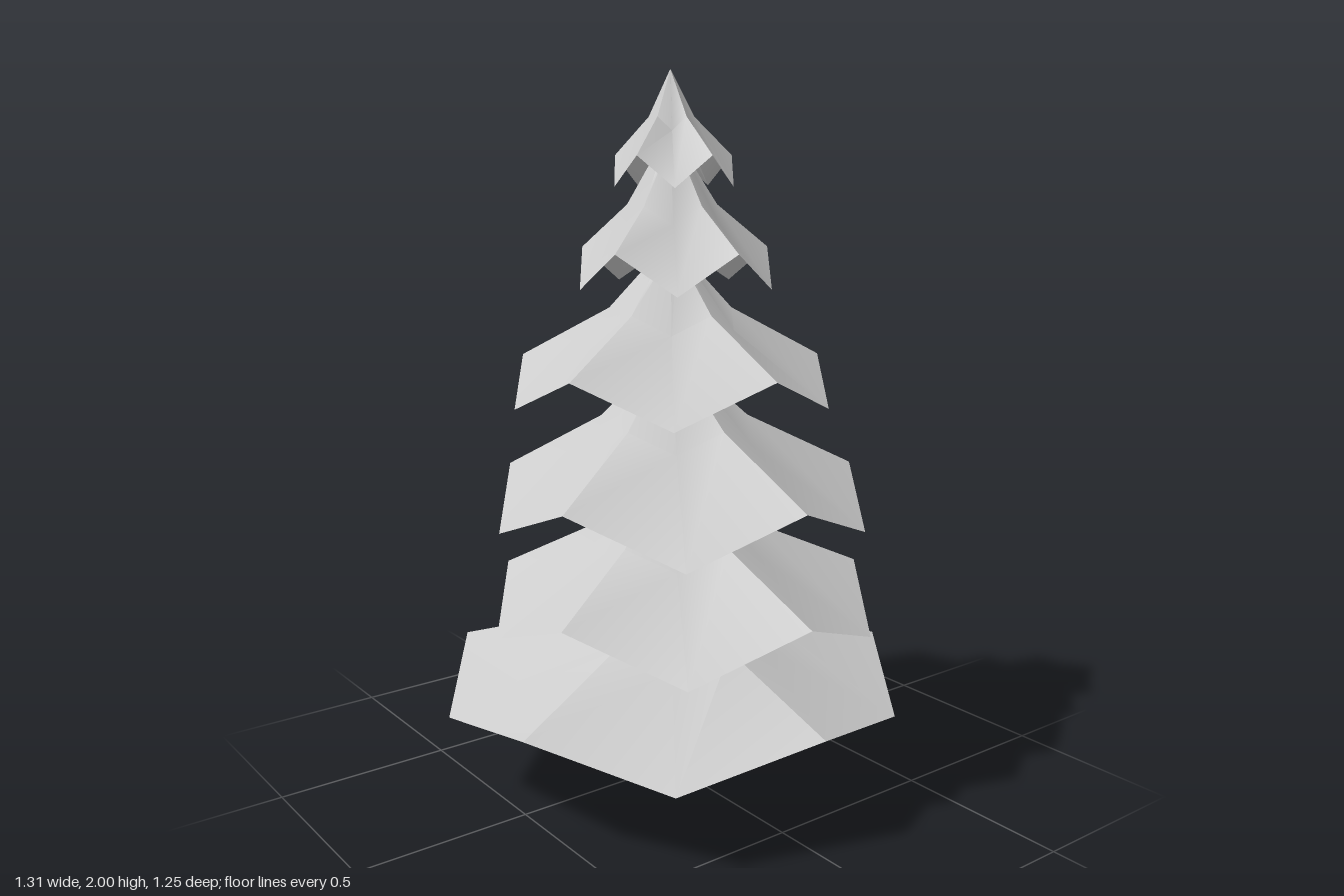
import * as THREE from 'three';
import { toCreasedNormals } from 'three/addons/utils/BufferGeometryUtils.js';

const SIDES = 10;

// Pleated skirt: even spokes are raised ridges, odd spokes are sagging valleys
function tierGeometry({ top, mid, tip, drop, offset, tilt = 0 }) {
  const rings = [
    { r: top[0], y: top[1], sag: 0, shift: 0 },
    { r: mid[0], y: mid[1], sag: drop * 0.45, shift: 0.4 },
    { r: tip[0], y: tip[1], sag: drop, shift: 1 },
  ];
  const positions = [], index = [];
  rings.forEach(({ r, y, sag, shift }, k) => {
    for (let i = 0; i < SIDES; i++) {
      const a = (i / SIDES) * Math.PI * 2;
      const x = Math.cos(a) * r, z = Math.sin(a) * r;
      const low = i % 2 ? sag : 0;
      positions.push(x + offset[0] * shift, y - low - tilt * (x + z * 0.5), z + offset[1] * shift);
      if (k === 0) continue;
      const j = (i + 1) % SIDES, u = (k - 1) * SIDES, d = k * SIDES;
      // Split every panel from its ridge so the pleats mirror each other
      if (i % 2) index.push(u + i, u + j, d + j, u + i, d + j, d + i);
      else index.push(u + i, d + j, d + i, u + i, u + j, d + j);
    }
  });
  const geometry = new THREE.BufferGeometry();
  geometry.setAttribute('position', new THREE.Float32BufferAttribute(positions, 3));
  geometry.setIndex(index);
  return toCreasedNormals(geometry, 0.5);
}

export function createModel() {
  const tree = new THREE.Group();
  tree.name = 'pineTree';

  // Trunk with a flared foot
  const profile = [[0, 0], [0.108, 0], [0.066, 0.28], [0.055, 0.6], [0.045, 1.4], [0.025, 1.84], [0, 1.84]]
    .map(([r, y]) => new THREE.Vector2(r, y));
  const trunk = new THREE.Mesh(
    new THREE.LatheGeometry(profile, 8),
    new THREE.MeshStandardMaterial({ color: 0xcccccc, flatShading: true })
  );
  trunk.name = 'trunk';
  trunk.rotation.y = 0.5;
  tree.add(trunk);

  // Branch tiers from bottom to top: [radius, height] of each ring along a ridge
  const tiers = [
    { top: [0.03, 0.58], mid: [0.27, 0.45], tip: [0.655, 0.335], drop: 0.088, offset: [-0.003, -0.006], tilt: 0.025 },
    { top: [0.03, 0.9], mid: [0.24, 0.73], tip: [0.545, 0.588], drop: 0.12, offset: [0.03, -0.022] },
    { top: [0.03, 1.23], mid: [0.22, 1.05], tip: [0.527, 0.888], drop: 0.122, offset: [0.018, -0.025] },
    { top: [0.03, 1.52], mid: [0.18, 1.36], tip: [0.445, 1.218], drop: 0.11, offset: [0.01, 0.005] },
    { top: [0.025, 1.81], mid: [0.13, 1.645], tip: [0.272, 1.527], drop: 0.105, offset: [0.007, -0.012] },
    { top: [0.001, 2.0], mid: [0.065, 1.878], tip: [0.168, 1.777], drop: 0.083, offset: [0.002, -0.01] },
  ];
  const foliage = new THREE.MeshStandardMaterial({ color: 0xcccccc, side: THREE.DoubleSide });
  tiers.forEach((tier, i) => {
    const mesh = new THREE.Mesh(tierGeometry(tier), foliage);
    mesh.name = `branchTier${i + 1}`;
    tree.add(mesh);
  });

  return tree;
}
